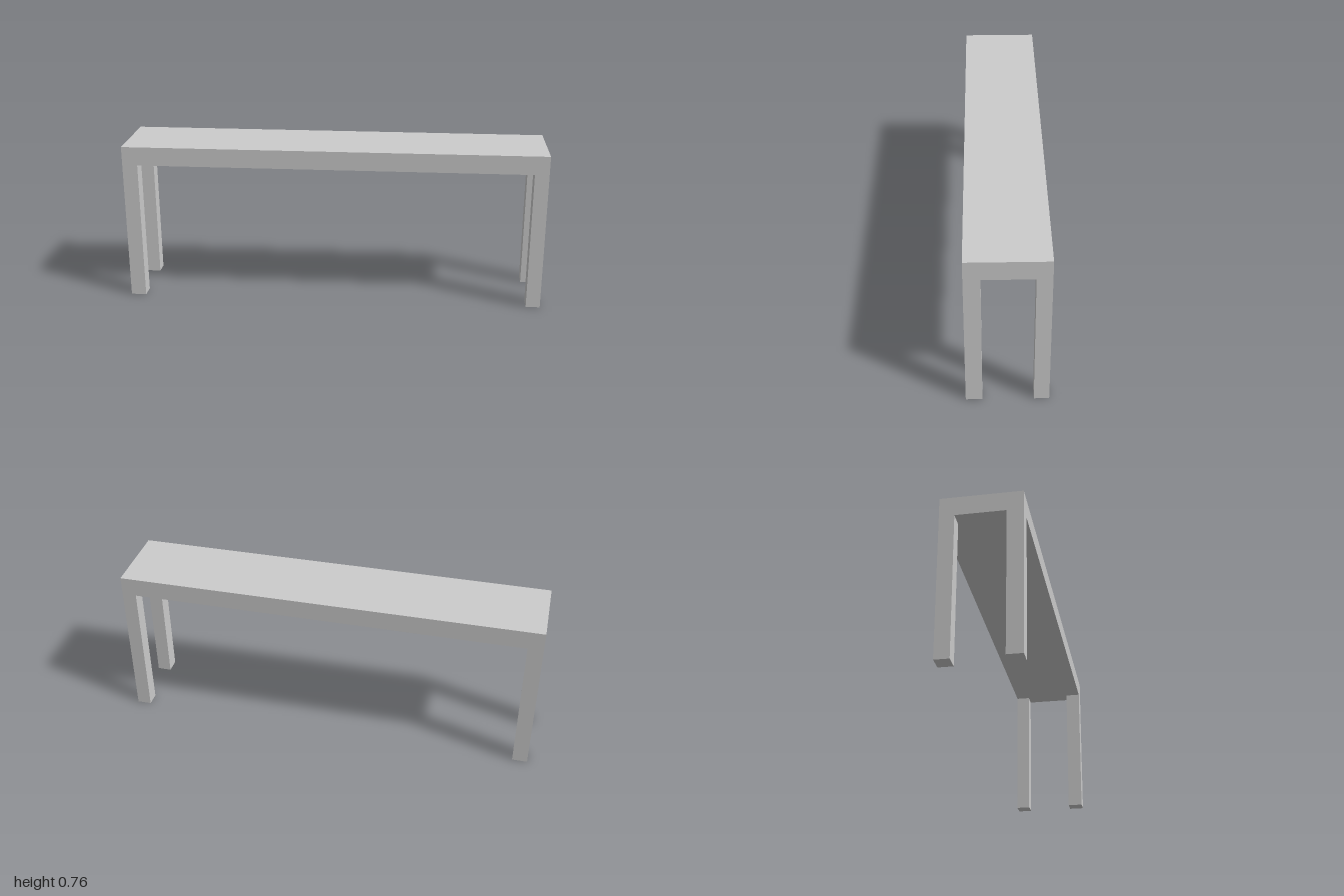
import * as THREE from 'three';

const LENGTH = 2, DEPTH = 0.362, HEIGHT = 0.757, UNDERSIDE = 0.668;

export function createModel() {
  const bench = new THREE.Group();
  bench.name = 'bench';
  const material = new THREE.MeshStandardMaterial({ color: 0xcccccc, flatShading: true });

  const addBox = (name, w, h, d, x, y, z) => {
    const mesh = new THREE.Mesh(new THREE.BoxGeometry(w, h, d), material);
    mesh.name = name;
    mesh.position.set(x, y, z);
    bench.add(mesh);
  };

  // Thick seat slab
  addBox('seat', LENGTH, HEIGHT - UNDERSIDE, DEPTH, 0, (HEIGHT + UNDERSIDE) / 2, 0);

  // Square legs flush with the seat corners; front and right ones slightly thicker
  for (const [sideName, sx, w] of [['Left', 1, 0.067], ['Right', -1, 0.072]]) {
    for (const [endName, sz, d] of [['front', 1, 0.072], ['back', -1, 0.067]]) {
      addBox(`${endName}${sideName}Leg`, w, UNDERSIDE, d,
        sx * (LENGTH - w) / 2, UNDERSIDE / 2, sz * (DEPTH - d) / 2);
    }
  }
  return bench;
}
